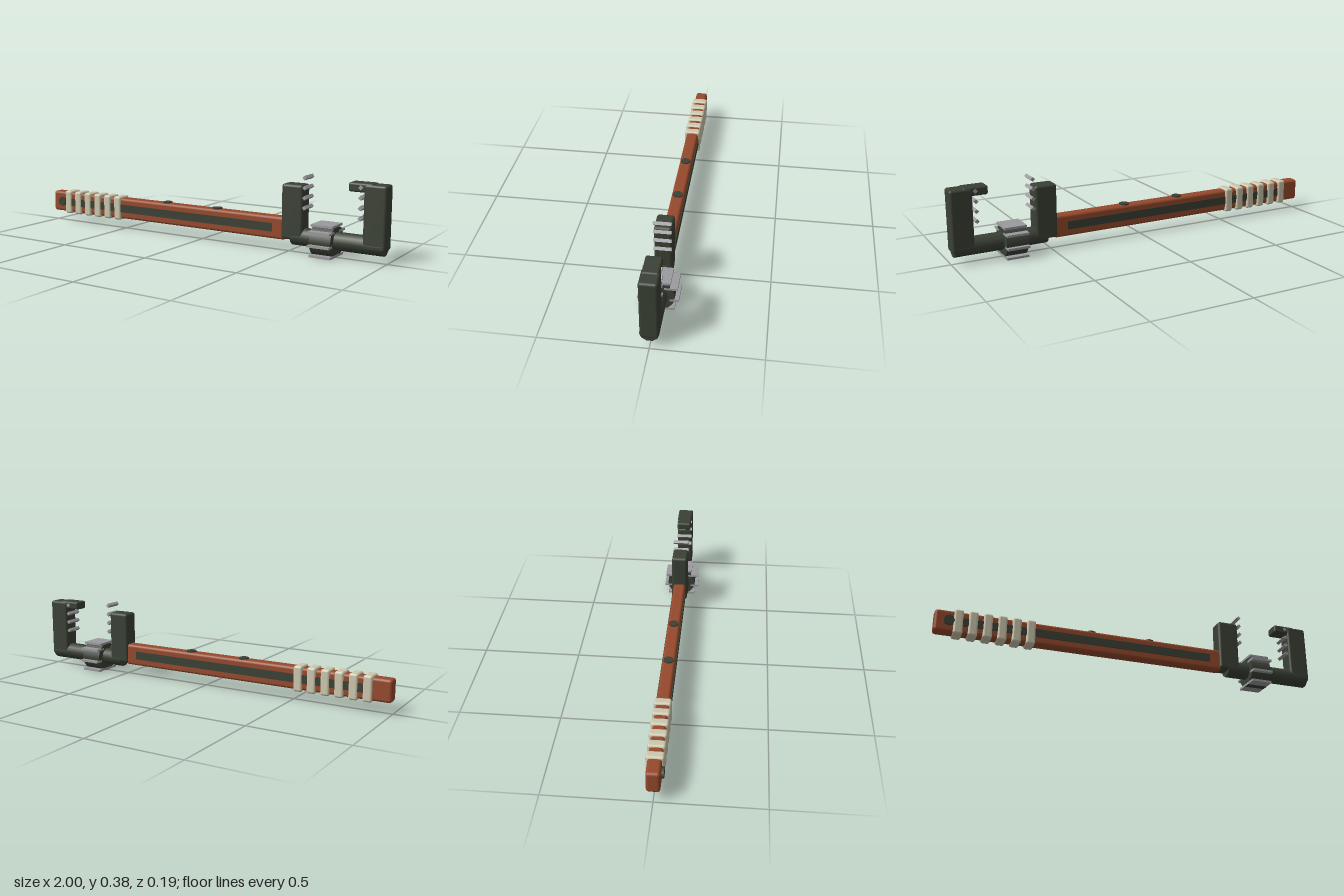
import * as THREE from 'three';
import { RoundedBoxGeometry } from 'three/addons/geometries/RoundedBoxGeometry.js';

const wood = new THREE.MeshStandardMaterial({ color: 0x96492c });
wood.name = 'wood';
const iron = new THREE.MeshStandardMaterial({ color: 0x3b4135 });
iron.name = 'dark iron';
const steel = new THREE.MeshStandardMaterial({ color: 0x9b9b9f });
steel.name = 'steel';
const cord = new THREE.MeshStandardMaterial({ color: 0xcdc8ae });
cord.name = 'pale cord';

export function createModel() {
  const model = new THREE.Group();
  model.name = 'wrench';

  const add = (name, geometry, material, x, y, z) => {
    const mesh = new THREE.Mesh(geometry, material);
    mesh.name = name;
    mesh.position.set(x, y, z);
    model.add(mesh);
    return mesh;
  };
  // Rounded box given by its x and y limits and half depth
  const block = (name, x0, x1, y0, y1, halfZ, radius, material) =>
    add(name, new RoundedBoxGeometry(x1 - x0, y1 - y0, halfZ * 2, 2, radius),
      material, (x0 + x1) / 2, (y0 + y1) / 2, 0);

  // Handle with an inlaid strip on each side
  block('handle', -1, 0.49, 0.06, 0.172, 0.032, 0.014, wood);
  for (const side of [1, -1]) {
    add('sideStrip', new THREE.BoxGeometry(1.32, 0.042, 0.008), iron, -0.24, 0.117, side * 0.032);
  }

  // Cord wraps around the grip
  for (let i = 0; i < 6; i++) {
    const x = -0.886 + i * 0.0705;
    block('gripWrap', x - 0.023, x + 0.023, 0.052, 0.181, 0.042, 0.012, cord);
  }

  // Rivets: one on the front of the butt, two on the top edge
  const rivet = new THREE.CylinderGeometry(0.026, 0.026, 0.016, 8);
  add('buttRivet', rivet, iron, -0.93, 0.117, 0.036).rotation.x = Math.PI / 2;
  for (const x of [-0.22, 0.09]) add('topRivet', rivet, iron, x, 0.17, 0);

  // Fixed jaw, shaft and hooked moving jaw
  block('fixedJaw', 0.475, 0.587, 0.068, 0.338, 0.042, 0.014, iron);
  add('shaft', new THREE.CylinderGeometry(0.044, 0.044, 0.465, 10), iron, 0.757, 0.083, 0)
    .rotation.z = Math.PI / 2;
  block('movingJaw', 0.892, 1, 0.064, 0.368, 0.042, 0.012, iron);
  block('jawHook', 0.815, 0.935, 0.329, 0.372, 0.038, 0.01, iron);

  // Diamond-section gripping teeth
  const tooth = new THREE.BoxGeometry(0.016, 0.016, 0.084);
  for (let i = 0; i < 4; i++) {
    add('fixedJawTooth', tooth, steel, 0.597, 0.374 - i * 0.048, 0).rotation.z = 0.7;
    add('movingJawTooth', tooth, steel, 0.877, 0.352 - i * 0.048, 0).rotation.z = -0.7;
  }

  // Adjusting wheel with seven level grip plates around its rim
  const wheelX = 0.696, wheelY = 0.079, rim = 0.076;
  add('adjustingWheel', new THREE.CylinderGeometry(0.077, 0.077, 0.108, 14), iron, wheelX, wheelY, 0)
    .rotation.z = Math.PI / 2;
  const halfDepths = [0.058, 0.03, 0.021, 0.042];
  for (let i = 0; i < 7; i++) {
    const a = (i * Math.PI * 2) / 7;
    const half = halfDepths[Math.min(i, 7 - i)];
    add('wheelPlate', new THREE.BoxGeometry(0.11, 0.011, half * 2), steel,
      wheelX, wheelY + Math.cos(a) * rim, Math.sin(a) * rim);
  }

  return model;
}
